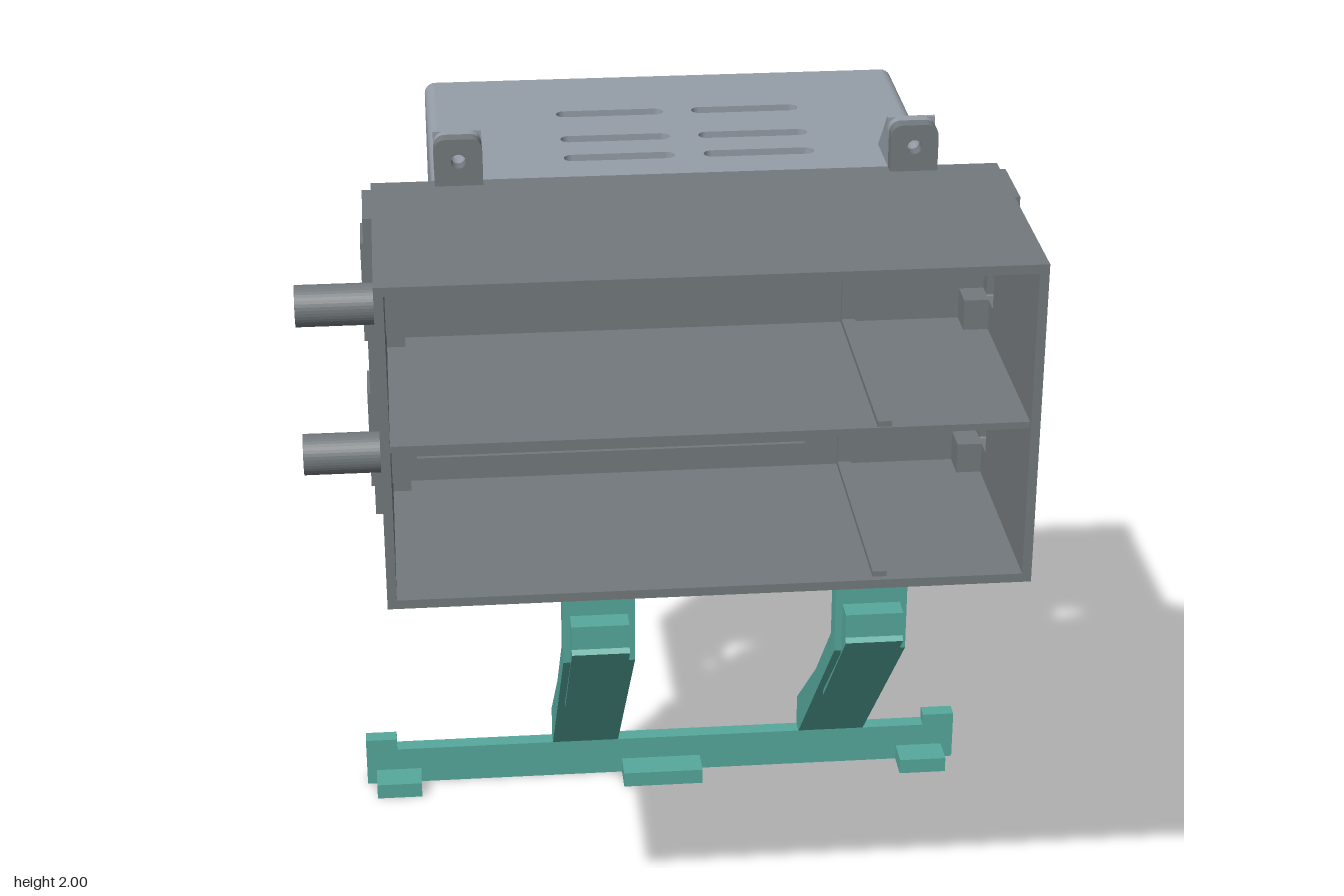
import * as THREE from 'three';

const mat = (name, color) => {
  const m = new THREE.MeshStandardMaterial({ color });
  m.name = name;
  return m;
};

export function createModel() {
  const dark = mat('dark grey', 0x73797d);
  const light = mat('light grey', 0x959da7);
  const teal = mat('teal', 0x56a89c);
  const root = new THREE.Group();
  root.name = 'housingOnStand';

  const add = (name, geo, m, x = 0, y = 0, z = 0) => {
    const mesh = new THREE.Mesh(geo, m);
    mesh.name = name;
    mesh.position.set(x, y, z);
    root.add(mesh);
    return mesh;
  };
  const box = (name, m, x0, x1, y0, y1, z0, z1) =>
    add(name, new THREE.BoxGeometry(x1 - x0, y1 - y0, z1 - z0), m, (x0 + x1) / 2, (y0 + y1) / 2, (z0 + z1) / 2);

  // Rounded rectangle outline, used for slots and windows: [u0, u1, v0, v1, radius]
  const rounded = ([a, b, c, d, r], P = THREE.Path) => {
    const p = new P();
    p.absarc(b - r, d - r, r, 0, Math.PI / 2);
    p.absarc(a + r, d - r, r, Math.PI / 2, Math.PI);
    p.absarc(a + r, c + r, r, Math.PI, Math.PI * 1.5);
    p.absarc(b - r, c + r, r, Math.PI * 1.5, Math.PI * 2);
    p.closePath();
    return p;
  };
  const extrude = (shape, depth) =>
    new THREE.ExtrudeGeometry(shape, { depth, bevelEnabled: false, curveSegments: 8 });
  const outline = pts => new THREE.Shape(pts.map(p => new THREE.Vector2(...p)));
  // Plate with holes; axis is its normal and "at" its lower coordinate along that axis
  const plate = (name, m, axis, at, t, rect, holes = []) => {
    const [a, b, c, d] = rect;
    const s = outline([[a, c], [b, c], [b, d], [a, d]]);
    s.holes = holes.map(h => rounded(h));
    const g = extrude(s, t);
    if (axis === 'x') return add(name, g.rotateY(-Math.PI / 2), m, at + t);
    if (axis === 'y') return add(name, g.rotateX(Math.PI / 2), m, 0, at + t);
    return add(name, g, m, 0, 0, at);
  };
  // Side profile in (z, y), extruded across x0..x1
  const profile = (name, m, pts, x0, x1) =>
    add(name, extrude(outline(pts), x1 - x0).rotateY(-Math.PI / 2), m, x1);

  // Front housing: open at the front, with connector openings through both sides
  const rows = [1.705, 1.355];
  const openings = rows.map(y => [0.09, 0.165, y - 0.1, y + 0.1, 0.005]);
  const screws = rows.flatMap(y => [0.075, 0.155].flatMap(z =>
    [-0.135, 0.14].map(dy => [z - 0.02, z + 0.02, y + dy - 0.02, y + dy + 0.02, 0.0199])));
  box('housingTop', dark, -0.645, 0.725, 1.875, 1.895, 0.03, 0.615);
  box('housingBottom', dark, -0.645, 0.725, 1.165, 1.185, 0.03, 0.615);
  box('housingBack', dark, -0.645, 0.725, 1.185, 1.875, 0.03, 0.05);
  box('middleShelf', dark, -0.625, 0.705, 1.523, 1.538, 0.05, 0.605);
  for (const [side, wall, pad, bar] of [['right', -0.645, -0.665, -0.655], ['left', 0.705, 0.725, 0.72]]) {
    plate(side + 'HousingWall', dark, 'x', wall, 0.02, [0.05, 0.615, 1.185, 1.875], openings);
    plate(side + 'ConnectorPanel', dark, 'x', pad, 0.02, [0.03, 0.2, 1.18, 1.88], [...openings, ...screws]);
    for (const y of rows) {
      plate(side + 'ConnectorFrame', dark, 'x', side === 'left' ? 0.745 : -0.672, 0.007,
        [0.065, 0.185, y - 0.113, y + 0.113], [[0.09, 0.165, y - 0.1, y + 0.1, 0.005]]);
      box(side + 'ConnectorInsert', dark, bar, bar + 0.015, y - 0.075, y + 0.04, 0.09, 0.165);
    }
  }
  // Interior fittings, repeated on both levels
  for (const [y0, y1] of [[1.185, 1.523], [1.538, 1.875]]) {
    box('backRib', dark, 0.385, 0.415, y0, y1, 0.05, 0.065);
    box('floorRail', dark, 0.385, 0.415, y0, y0 + 0.012, 0.05, 0.6);
    box('cornerBlock', dark, 0.65, 0.705, y0, y0 + 0.07, 0.05, 0.12);
    box('smallStop', dark, -0.625, -0.585, y0, y0 + 0.06, 0.05, 0.1);
  }
  box('upperBackBar', dark, -0.57, 0.31, 1.81, 1.865, 0.05, 0.06);
  box('lowerBackBar', dark, -0.57, 0.31, 1.19, 1.245, 0.05, 0.06);
  for (const y of rows) {
    box('backBlock', dark, 0.31, 0.365, y - 0.05, y + 0.05, 0.05, 0.08);
    box('pegBlock', dark, -0.63, -0.585, y - 0.055, y + 0.055, 0.2, 0.29);
    // Hollow side pegs
    const ring = new THREE.Shape().absarc(0, 0, 0.045, 0, Math.PI * 2);
    ring.holes.push(new THREE.Path().absarc(0, 0, 0.025, 0, Math.PI * 2));
    add('sidePeg', new THREE.ExtrudeGeometry(ring, { depth: 0.17, bevelEnabled: false, curveSegments: 20 })
      .rotateY(-Math.PI / 2), dark, -0.645, y, 0.245);
  }

  // Rear cover: thin walls with slots and windows, round edges running front to back
  const r = 0.025, t = 0.015, X0 = -0.515, X1 = 0.59, Y0 = 1.17, Y1 = 1.895, Z0 = -0.615, Z1 = 0.03;
  const vents = [-0.37, -0.205, -0.085].flatMap(z =>
    [[-0.22, 0.025], [0.09, 0.335]].map(([a, b]) => [a, b, z - 0.02, z + 0.02, 0.0195]));
  plate('coverTop', light, 'y', Y1 - t, t, [X0 + r, X1 - r, Z0, Z1], vents);
  plate('coverBottom', light, 'y', Y0, t, [X0 + r, X1 - r, Z0, Z1],
    [[-0.35, 0.5, -0.46, -0.28, 0.01], [-0.475, -0.38, -0.46, -0.33, 0.01]]);
  plate('coverLeftWall', light, 'x', X1 - t, t, [Z0, Z1, Y0 + r, Y1 - r], [[-0.515, -0.13, 1.235, 1.83, 0.03]]);
  plate('coverRightWall', light, 'x', X0, t, [Z0, Z1, Y0 + r, Y1 - r], [[-0.225, -0.13, 1.28, 1.79, 0.025]]);
  plate('coverBack', light, 'z', Z0, t, [X0 + t, X1 - t, Y0 + t, Y1 - t],
    [-0.39, 0.47].flatMap(x => [1.68, 1.36].map(y => [x - 0.015, x + 0.015, y - 0.055, y + 0.055, 0.014])));
  for (const x of [X0 + r, X1 - r]) for (const y of [Y0 + r, Y1 - r])
    add('coverRoundEdge', new THREE.CylinderGeometry(r, r, Z1 - Z0, 24).rotateX(Math.PI / 2), light, x, y, (Z0 + Z1) / 2);

  // Mounting ears with screw holes, above and below the joint
  const ear = (name, m, x, y, up, z, depth) => {
    const s = new THREE.Shape();
    s.moveTo(-0.052, -0.055 * up);
    s.lineTo(0.052, -0.055 * up);
    s.lineTo(0.052, 0.02 * up);
    s.quadraticCurveTo(0.052, 0.05 * up, 0.025, 0.05 * up);
    s.lineTo(-0.025, 0.05 * up);
    s.quadraticCurveTo(-0.052, 0.05 * up, -0.052, 0.02 * up);
    s.holes.push(new THREE.Path().absarc(0, 0, 0.016, 0, Math.PI * 2));
    add(name, extrude(s, depth), m, x, y, z);
  };
  for (const x of [-0.455, 0.535]) {
    for (const [y, up] of [[1.95, 1], [1.11, -1]]) {
      ear('housingEar', dark, x, y, up, 0.03, 0.033);
      ear('coverEar', light, x, y, up, 0, 0.03);
    }
    for (const dx of [-0.052, 0.035])
      profile('earGusset', light, [[0.01, 1.89], [-0.115, 1.89], [0, 2], [0.01, 2]], x + dx, x + dx + 0.017);
  }

  // Stand: two bent legs
  for (const x of [-0.16, 0.485]) {
    profile('standLeg', teal, [[0, 0.92], [-0.06, 0.92], [-0.06, 0.68], [-0.29, 0.45], [-0.615, 0.18],
      [-0.615, 0.05], [-0.575, 0.05], [-0.575, 0.1], [0, 0.665]], x - 0.085, x + 0.085);
    profile('legPad', teal, [[0, 0.79], [-0.01, 0.79], [-0.01, 0.65], [-0.27, 0.4], [-0.27, 0.385],
      [0.065, 0.72], [0.055, 0.73], [0.055, 0.79]], x - 0.068, x + 0.068);
    box('legNeck', teal, x - 0.068, x + 0.068, 0.9, 1.06, -0.06, -0.012);
  }
  // Arms and upright tabs joining the legs to the lower ears
  box('rightArm', teal, -0.485, -0.2, 1.0, 1.06, -0.06, -0.012);
  box('leftArm', teal, 0.5, 0.595, 1.0, 1.06, -0.06, -0.012);
  for (const x of [-0.46, 0.535])
    plate('standTab', teal, 'z', -0.06, 0.058, [x - 0.057, x + 0.057, 1.04, 1.16],
      [[x - 0.012, x + 0.022, 1.093, 1.127, 0.0165]]);

  // Base bar with raised ends and three feet
  box('baseBar', teal, -0.73, 0.81, 0, 0.1, -0.615, -0.575);
  for (const x of [-0.73, 0.73]) box('baseEnd', teal, x, x + 0.08, 0.1, 0.13, -0.615, -0.575);
  for (const [a, b] of [[-0.705, -0.59], [-0.065, 0.14], [0.66, 0.78]])
    box('baseFoot', teal, a, b, 0, 0.04, -0.575, -0.5);

  return root;
}
